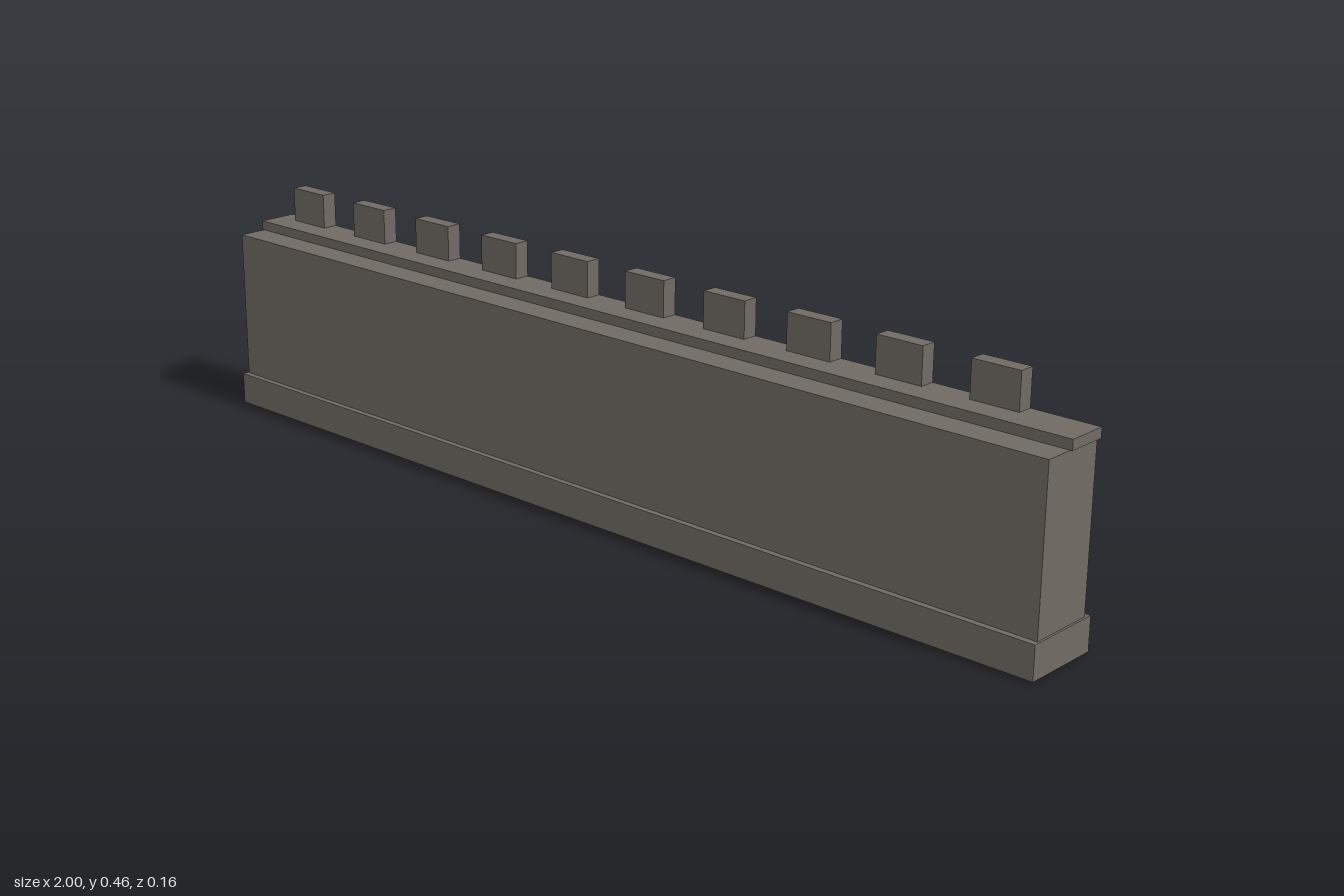
import * as THREE from 'three';

export function createModel() {
  const wall = new THREE.Group();
  wall.name = 'battlementWall';
  const stone = new THREE.MeshStandardMaterial({ color: 0x706a64 });
  stone.name = 'stone';

  // Box given by its limits on each axis
  const block = (name, x0, x1, y0, y1, z0, z1) => {
    const mesh = new THREE.Mesh(new THREE.BoxGeometry(x1 - x0, y1 - y0, z1 - z0), stone);
    mesh.position.set((x0 + x1) / 2, (y0 + y1) / 2, (z0 + z1) / 2);
    mesh.name = name;
    wall.add(mesh);
  };

  block('plinth', -1, 1, 0, 0.064, -0.079, 0.079);
  block('wallBody', -0.996, 0.996, 0.064, 0.367, -0.067, 0.067);
  // Raised ledge, overhanging slightly at the back
  block('parapetLedge', -1, 1, 0.367, 0.386, -0.072, 0.009);

  // Row of merlons along the back edge
  for (let i = 0; i < 10; i++) {
    const x = -0.952 + i * 0.1915;
    block('merlon' + (i + 1), x, x + 0.096, 0.386, 0.456, -0.072, -0.041);
  }
  return wall;
}
